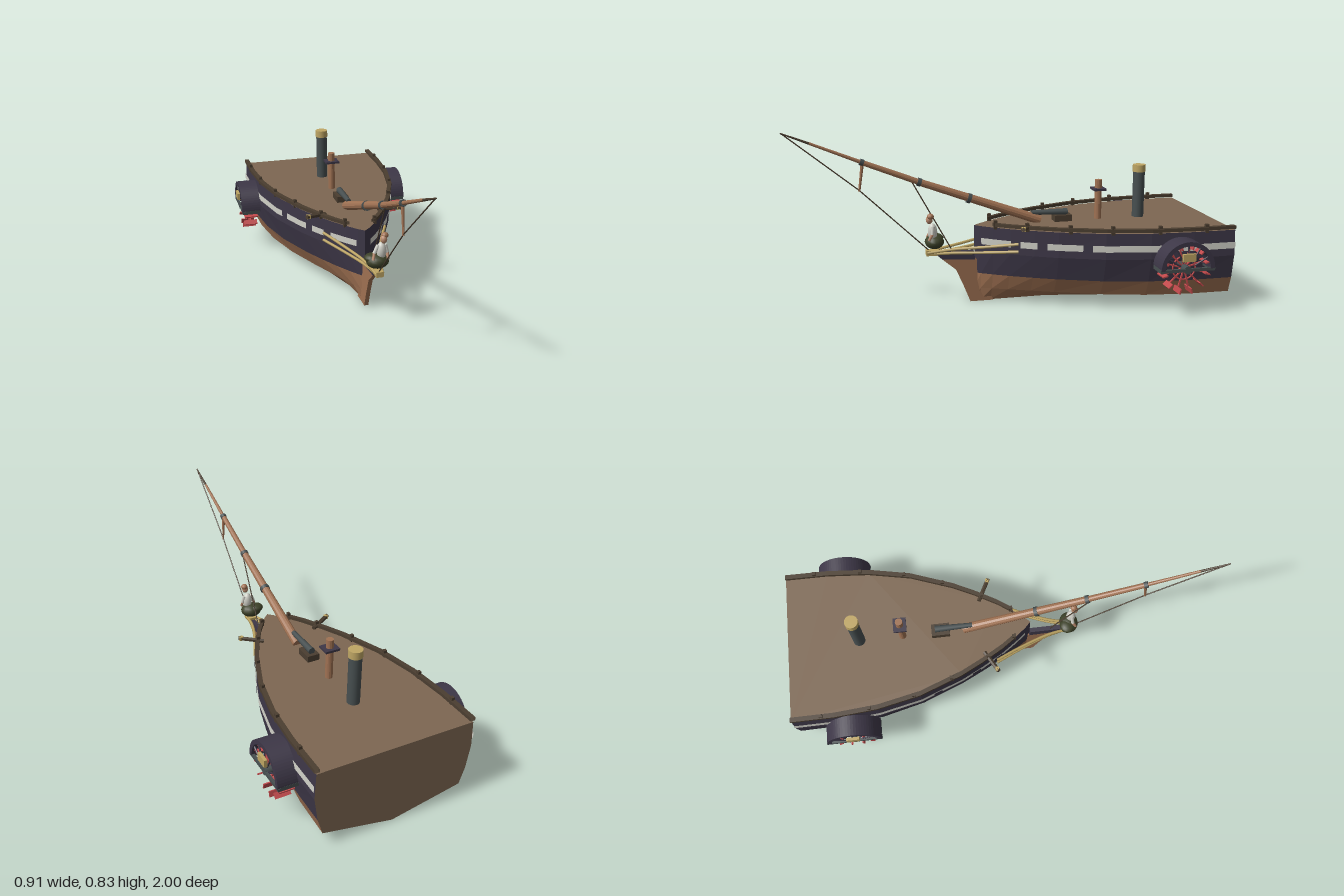
import * as THREE from 'three';

const mat = (name, color, extra = {}) => Object.assign(new THREE.MeshStandardMaterial({ color, ...extra }), { name });
const M = {
  hull: mat('dark hull paint', 0x3d3747, { flatShading: true, side: THREE.DoubleSide }),
  copper: mat('copper brown', 0xa07253, { flatShading: true, side: THREE.DoubleSide }),
  deck: mat('deck wood', 0x7d6752, { side: THREE.DoubleSide }),
  rail: mat('dark wood', 0x4b3e30, { flatShading: true, side: THREE.DoubleSide }),
  white: mat('off white', 0xcfcfc6, { side: THREE.DoubleSide }),
  gold: mat('gold', 0xbfa664),
  slate: mat('slate metal', 0x474f50),
  red: mat('wheel red', 0xc24a4c),
  green: mat('dark green', 0x3d4229),
  skin: mat('skin', 0xb98a6e),
};
const V = (x, y, z) => new THREE.Vector3(x, y, z);

// Hull form: half breadth by station, scaled by a section profile that gets finer at the bow
const STATIONS = [[-1, .362], [-.8, .361], [-.6, .345], [-.4, .303], [-.2, .227], [-.1, .176], [0, .118], [.07, .068], [.12, .028], [.147, 0]];
const LEVELS = [[0, 0, 0], [.065, .89, .5], [.14, .955, .2], [.25, 1, .03], [.37, .985, 0]];
function lookup(table, v, col) {
  let i = 0;
  while (i < table.length - 2 && v > table[i + 1][0]) i++;
  const a = table[i], b = table[i + 1];
  return a[col] + (b[col] - a[col]) * THREE.MathUtils.clamp((v - a[0]) / (b[0] - a[0]), 0, 1);
}
const half = (y, z) => {
  const t = (z + 1) / 1.147;
  return lookup(STATIONS, z, 1) * lookup(LEVELS, y, 1) * (1 - lookup(LEVELS, y, 2) * t * t);
};

function add(group, name, geo, material, x = 0, y = 0, z = 0) {
  const m = new THREE.Mesh(geo, material);
  m.name = name;
  m.position.set(x, y, z);
  group.add(m);
  return m;
}
const box = (g, name, material, w, h, d, x, y, z) => add(g, name, new THREE.BoxGeometry(w, h, d), material, x, y, z);
const cyl = (g, name, material, r, h, x, y, z, n = 20) => add(g, name, new THREE.CylinderGeometry(r, r, h, n), material, x, y, z);

// Tapered round bar between two points
function rod(g, name, material, a, b, r0, r1 = r0, n = 12) {
  const m = add(g, name, new THREE.CylinderGeometry(r1, r0, a.distanceTo(b), n), material);
  m.position.copy(a).lerp(b, .5);
  m.quaternion.setFromUnitVectors(V(0, 1, 0), b.clone().sub(a).normalize());
  return m;
}
function ball(g, name, material, x, y, z, sx, sy, sz) {
  add(g, name, new THREE.SphereGeometry(1, 14, 10), material, x, y, z).scale.set(sx, sy, sz);
}

// Skin through rows of points; flip reverses the facing
function sheet(rows, flip) {
  const n = rows[0].length, idx = [];
  for (let i = 0; i < rows.length - 1; i++) for (let j = 0; j < n - 1; j++) {
    const a = i * n + j, b = a + 1, c = a + n, d = c + 1;
    idx.push(...(flip ? [a, c, b, b, c, d] : [a, b, c, b, d, c]));
  }
  const geo = new THREE.BufferGeometry().setFromPoints(rows.flat());
  geo.setIndex(idx);
  geo.computeVertexNormals();
  return geo;
}
const zs = STATIONS.map(s => s[0]);
function side(s, ys, stations = zs, off = 0) {
  return sheet(stations.map(z => ys.map(y => V(s * (half(y, z) + off), y, z))), s < 0);
}

// Solid cut from a side outline given as [z, y], thickness along x
function profile(points, depth) {
  const shape = points instanceof THREE.Shape ? points : new THREE.Shape(points.map(p => new THREE.Vector2(...p)));
  return new THREE.ExtrudeGeometry(shape, { depth, bevelEnabled: false, curveSegments: 16 })
    .translate(0, 0, -depth / 2).rotateY(-Math.PI / 2);
}

function paddleWheel(s) {
  const g = new THREE.Group();
  g.name = s > 0 ? 'leftPaddleWheel' : 'rightPaddleWheel';
  g.position.set(s * .4, .22, -.735);
  // arched guard
  const arch = new THREE.Shape().absarc(0, 0, .128, 0, Math.PI, false);
  arch.absarc(0, 0, .108, Math.PI, 0, true);
  add(g, 'wheelGuard', profile(arch, .095), M.hull, 0, .003, 0);
  for (let i = 1; i < 6; i++) {
    const a = i * Math.PI / 6;
    rod(g, 'guardRib', M.hull, V(s * .04, .04 * Math.sin(a), .04 * Math.cos(a)), V(s * .04, .112 * Math.sin(a), .112 * Math.cos(a)), .004, .004, 6);
  }
  // wheel with twelve paddles
  for (let i = 0; i < 12; i++) {
    const arm = new THREE.Group();
    arm.name = 'wheelArm';
    arm.rotation.x = (i + .5) * Math.PI / 6;
    box(arm, 'spoke', M.red, .008, .1, .006, 0, .055, 0);
    box(arm, 'paddle', M.red, .07, .026, .006, 0, .105, 0);
    g.add(arm);
  }
  add(g, 'wheelRing', new THREE.TorusGeometry(.055, .004, 6, 24).rotateY(Math.PI / 2), M.red);
  rod(g, 'axle', M.slate, V(-s * .05, 0, 0), V(s * .045, 0, 0), .018);
  // support frame and hub plate
  box(g, 'frameBeam', M.slate, .012, .014, .26, s * .04, 0, 0);
  for (const z of [-.12, .12]) box(g, 'frameArm', M.slate, .09, .018, .016, 0, 0, z);
  box(g, 'hubPlate', M.gold, .014, .035, .06, s * .05, .06, 0);
  return g;
}

function figurehead() {
  const g = new THREE.Group();
  g.name = 'figurehead';
  ball(g, 'skirt', M.green, 0, .302, .335, .052, .034, .045);
  ball(g, 'skirtHem', M.green, -.02, .315, .325, .038, .02, .035);
  ball(g, 'torso', M.white, .015, .352, .345, .022, .042, .022);
  ball(g, 'head', M.skin, .02, .412, .36, .015, .02, .016);
  ball(g, 'hair', M.copper, .026, .428, .355, .016, .014, .016);
  for (const s of [-1, 1]) {
    const shoulder = V(.015 + s * .016, .38, .345), elbow = V(.01 + s * .03, .345, .35);
    rod(g, 'upperArm', M.white, shoulder, elbow, .009, .008, 8);
    rod(g, 'forearm', M.skin, elbow, V(.005 + s * .034, .318, .365), .007, .006, 8);
  }
  return g;
}

export function createModel() {
  const g = new THREE.Group();
  g.name = 'paddleShipBow';

  // hull halves, painted band, rails and head gear
  for (const s of [1, -1]) {
    add(g, 'lowerHull', side(s, [0, .065, .14]), M.copper);
    add(g, 'upperHull', side(s, [.14, .25, .37]), M.hull);
    const bandZ = zs.slice(0, -1);
    add(g, 'paintedBand', side(s, [.285, .315], bandZ, .006), M.white);
    for (const z of [-.32, -.13, -.02])
      add(g, 'gunPort', side(s, [.28, .32], [z - .02, z + .02], .011), M.hull);

    const railZ = zs.filter(z => z < .08);
    add(g, 'rail', sheet(railZ.map(z => {
      const x = half(.37, z);
      return [[-.014, .376], [.008, .376], [.008, .391], [-.014, .391], [-.014, .376]].map(([dx, y]) => V(s * (x + dx), y, z));
    }), s < 0), M.rail);
    for (const z of [-.86, -.64, -.43, -.25, -.07, .06])
      box(g, 'railPost', M.rail, .015, .04, .016, s * (half(.37, z) - .003), .384, z);

    rod(g, 'cathead', M.rail, V(s * .13, .38, -.085), V(s * .232, .394, -.03), .01, .01, 6);
    box(g, 'catheadCap', M.gold, .018, .018, .016, s * .222, .393, -.036);

    const headRails = [
      [V(s * .152, .306, -.03), V(s * .09, .285, .1), V(s * .035, .268, .25), V(s * .015, .252, .37)],
      [V(s * .152, .27, -.03), V(s * .09, .258, .1), V(s * .035, .25, .24), V(s * .012, .245, .34)],
    ];
    for (const p of headRails)
      add(g, 'headRail', new THREE.TubeGeometry(new THREE.CatmullRomCurve3(p), 14, .007, 6), M.gold);
    g.add(paddleWheel(s));
  }

  // deck and flat aft face
  const deck = new THREE.Shape([...zs.map(z => [half(.37, z), z]), ...[...zs].reverse().map(z => [-half(.37, z), z])]
    .map(([x, z]) => new THREE.Vector2(x, -z)));
  add(g, 'deck', new THREE.ShapeGeometry(deck).rotateX(-Math.PI / 2), M.deck, 0, .37, 0);
  const ys = LEVELS.map(l => l[0]);
  const aft = new THREE.Shape([...ys.map(y => [half(y, -1), y]), ...[...ys].reverse().map(y => [-half(y, -1), y])]
    .map(p => new THREE.Vector2(...p)));
  add(g, 'aftFace', new THREE.ShapeGeometry(aft).rotateY(Math.PI), M.deck, 0, 0, -1);

  // stem and knee of the head
  add(g, 'stem', profile([[.06, 0], [.168, 0], [.2, .08], [.235, .16], [.3, .215], [.145, .215], [.08, .14]], .02), M.copper);
  add(g, 'headKnee', profile([[.145, .205], [.27, .215], [.3, .215], [.34, .25], [.15, .248]], .022), M.hull);
  box(g, 'headBlock', M.gold, .034, .025, .06, 0, .25, .345);

  // bowsprit in three tapering lengths with dark bands
  const spar = z => V(0, .385 + (z + .15) * .387 - .012 * Math.sin((z + .15) / 1.15 * Math.PI), z);
  rod(g, 'bowsprit', M.copper, spar(-.17), spar(.4), .023, .016);
  rod(g, 'jibBoom', M.copper, spar(.38), spar(.66), .014, .012);
  rod(g, 'outerBoom', M.copper, spar(.62), spar(.88), .009, .006);
  rod(g, 'boomTip', M.rail, spar(.87), V(0, .828, 1), .006, .003);
  for (const [z, r] of [[.17, .023], [.4, .019], [.655, .015]]) rod(g, 'sparBand', M.slate, spar(z - .008), spar(z + .008), r);
  rod(g, 'strikerSpar', M.copper, spar(.652), V(0, .555, .67), .008, .005, 8);

  // stays
  const stays = [[V(0, .826, .995), V(0, .56, .67)], [V(0, .56, .67), V(0, .26, .36)], [spar(.44), V(0, .25, .25)]];
  for (const [a, b] of stays) rod(g, 'stay', M.rail, a, b, .0028, .0028, 6);

  g.add(figurehead());

  // funnel
  cyl(g, 'funnel', M.slate, .028, .225, 0, .48, -.665);
  cyl(g, 'funnelCap', M.gold, .031, .034, 0, .608, -.665);

  // mast stump with square collar
  cyl(g, 'mastStump', M.copper, .017, .19, 0, .465, -.46, 14);
  box(g, 'mastCollar', M.hull, .068, .01, .06, 0, .515, -.46);

  // deck gun on its carriage
  box(g, 'gunCarriage', M.rail, .058, .03, .085, 0, .385, -.28);
  rod(g, 'gunBarrel', M.slate, V(0, .412, -.305), V(0, .415, -.13), .016, .011);

  return g;
}
